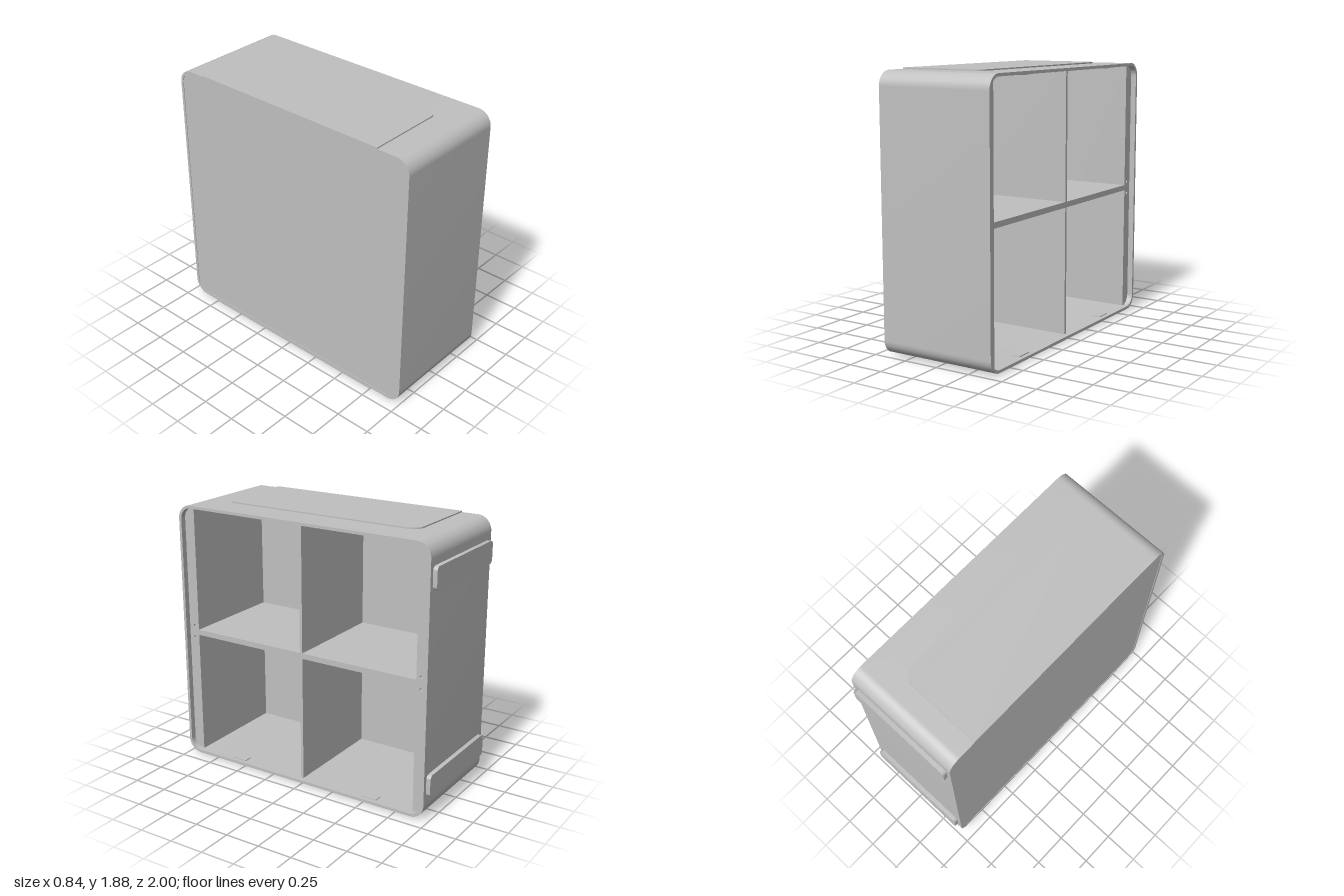
import * as THREE from 'three';
import { toCreasedNormals } from 'three/addons/utils/BufferGeometryUtils.js';

// Rectangle with one radius per corner: [x0y0, x1y0, x1y1, x0y1]
function roundRect(path, x0, y0, x1, y1, [a, b, c, d]) {
  path.moveTo(x0 + a, y0);
  path.lineTo(x1 - b, y0);
  if (b) path.absarc(x1 - b, y0 + b, b, -Math.PI / 2, 0, false);
  path.lineTo(x1, y1 - c);
  if (c) path.absarc(x1 - c, y1 - c, c, 0, Math.PI / 2, false);
  path.lineTo(x0 + d, y1);
  if (d) path.absarc(x0 + d, y1 - d, d, Math.PI / 2, Math.PI, false);
  path.lineTo(x0, y0 + a);
  if (a) path.absarc(x0 + a, y0 + a, a, Math.PI, Math.PI * 1.5, false);
  return path;
}

const extrude = (shape, depth) =>
  toCreasedNormals(new THREE.ExtrudeGeometry(shape, { depth, bevelEnabled: false, curveSegments: 16 }), 0.5);

export function createModel() {
  const model = new THREE.Group();
  model.name = 'cubbyCabinet';
  const grey = new THREE.MeshStandardMaterial({ color: 0xc0c0c0 });
  grey.name = 'grey';

  const add = (name, geometry, x = 0, y = 0, z = 0) => {
    const mesh = new THREE.Mesh(geometry, grey);
    mesh.name = name;
    mesh.position.set(x, y, z);
    model.add(mesh);
    return mesh;
  };
  const box = (name, w, h, d, x, y, z) => add(name, new THREE.BoxGeometry(w, h, d), x, y, z);
  // Side profiles are drawn as (-z, y) and run along x from x0 to x1
  const along = (name, shape, x0, x1) => add(name, extrude(shape, x1 - x0).rotateY(Math.PI / 2), x0);

  const X = 0.42, LEDGE = 0.38, BACK = -0.395;
  const bottom = 0.011, top = 1.874, front = 1.0, back = -0.97;
  const t = 0.02, R = 0.1, r = R - t;
  const in0 = bottom + t, in1 = top - t;
  const mid = (bottom + top) / 2;

  // Rounded outer shell
  const ring = roundRect(new THREE.Shape(), -front, bottom, -back, top, [R, R, R, R]);
  ring.holes.push(roundRect(new THREE.Path(), -front + t, in0, -back - t, in1, [r, r, r, r]));
  along('shell', ring, -X, X);

  // Closing panel on the far side
  const panel = roundRect(new THREE.Shape(), -front + t, in0, -back - t, in1, [r, r, r, r]);
  along('closingPanel', panel, -X + 0.004, BACK);

  // Thick side blocks, set back from the opening, with two peg holes each
  const frontBlock = roundRect(new THREE.Shape(), -front + t, in0, -0.9, in1, [r, 0, 0, r]);
  const backBlock = roundRect(new THREE.Shape(), 0.87, in0, -back - t, in1, [0, r, r, 0]);
  for (const [shape, hz] of [[frontBlock, -0.937], [backBlock, 0.905]]) {
    for (const dy of [-0.043, 0.043]) {
      shape.holes.push(new THREE.Path().absarc(hz, mid + 0.003 + dy, 0.011, 0, Math.PI * 2, true));
    }
  }
  along('frontSideBlock', frontBlock, BACK, LEDGE);
  along('backSideBlock', backBlock, BACK, LEDGE);

  // Shelf and the two upright dividers
  const depth = LEDGE - BACK, cx = (LEDGE + BACK) / 2;
  const s0 = 0.925, s1 = 0.964;
  box('shelf', depth, s1 - s0, 1.77, cx, (s0 + s1) / 2, 0.015);
  for (const [name, y0, y1] of [['lowerDivider', in0, s0], ['upperDivider', s1, in1]]) {
    box(name, depth, y1 - y0, 0.02, cx, (y0 + y1) / 2, 0.012);
    // Small locating tabs at the divider head
    for (const x of [0.25, -0.25]) box('dividerTab', 0.09, 0.014, 0.034, x, y1 - 0.007, 0.012);
  }

  // Catch plates near the opening, on floor and ceiling
  for (const z of [0.56, -0.54]) {
    for (const y of [in0 + 0.003, in1 - 0.003]) box('catchPlate', 0.06, 0.006, 0.11, 0.36, y, z);
  }

  // Thin pads above and below, rounded toward the opening
  const pad = roundRect(new THREE.Shape(), -X, -0.752, 0.19, 0.755, [0, 0.08, 0.08, 0]);
  for (const [name, y] of [['topPad', top + 0.009], ['bottomPad', bottom]]) {
    add(name, extrude(pad, 0.011).rotateX(Math.PI / 2), 0, y);
  }

  // Two bumper strips on the rear
  const strip = roundRect(new THREE.Shape(), -0.39, -0.078, 0.39, 0.078, [0.03, 0.03, 0.03, 0.03]);
  for (const y of [0.245, 1.645]) add('rearStrip', extrude(strip, 0.03), 0, y, -1);

  return model;
}
